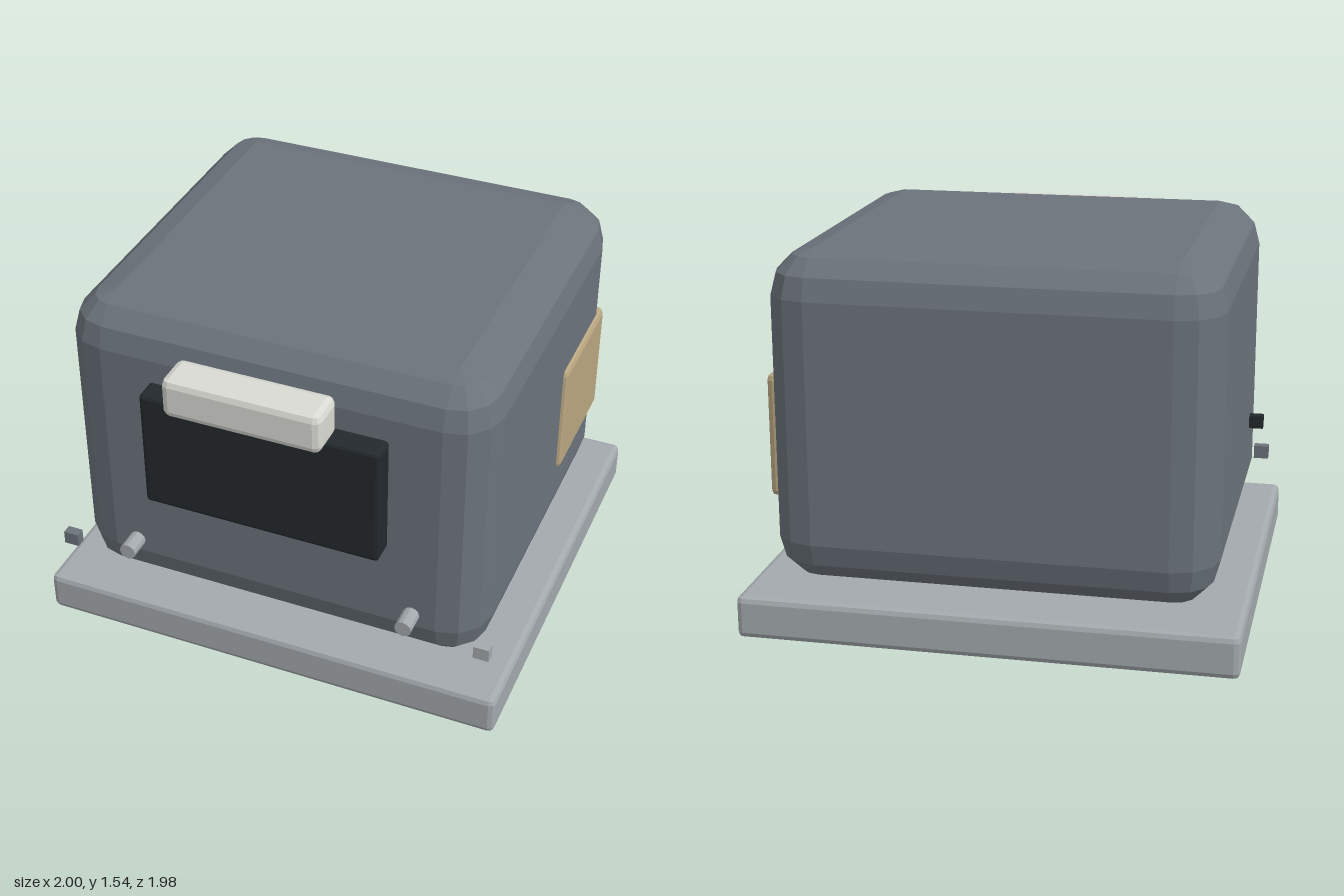
import * as THREE from 'three';
import { ConvexGeometry } from 'three/addons/geometries/ConvexGeometry.js';

const material = (color) => new THREE.MeshStandardMaterial({ color, flatShading: true });

// Box with bevelled edges: hull of eight corner octants, given by its min and max per axis
function bevelBox([x0, x1], [y0, y1], [z0, z1], r, segments) {
  const points = [];
  for (const sx of [-1, 1]) for (const sy of [-1, 1]) for (const sz of [-1, 1]) {
    const cx = sx < 0 ? x0 + r : x1 - r;
    const cy = sy < 0 ? y0 + r : y1 - r;
    const cz = sz < 0 ? z0 + r : z1 - r;
    for (let i = 0; i <= segments; i++) {
      const a = (i / segments) * Math.PI / 2;
      const turns = i === segments ? 0 : segments;
      for (let j = 0; j <= turns; j++) {
        const b = (j / segments) * Math.PI / 2;
        points.push(new THREE.Vector3(
          cx + sx * r * Math.cos(a) * Math.cos(b),
          cy + sy * r * Math.sin(a),
          cz + sz * r * Math.cos(a) * Math.sin(b)));
      }
    }
  }
  return new ConvexGeometry(points);
}

function plainBox([x0, x1], [y0, y1], [z0, z1]) {
  return new THREE.BoxGeometry(x1 - x0, y1 - y0, z1 - z0)
    .translate((x0 + x1) / 2, (y0 + y1) / 2, (z0 + z1) / 2);
}

export function createModel() {
  const group = new THREE.Group();
  const slate = material(0x6b737b);
  const steel = material(0xa3a9ad);
  const black = material(0x23292d);
  const cream = material(0xdadad4);
  const tan = material(0xb9a680);

  const add = (name, geometry, mat) => {
    const mesh = new THREE.Mesh(geometry, mat);
    mesh.name = name;
    group.add(mesh);
    return mesh;
  };

  // Plinth, recessed neck and the large rounded housing
  add('basePlate', bevelBox([-1, 1], [0, 0.175], [-0.99, 0.84], 0.025, 2), steel);
  add('neck', plainBox([-0.588, 0.588], [0.16, 0.23], [-0.64, 0.49]), black);
  add('housing', bevelBox([-0.89, 0.89], [0.2, 1.545], [-0.9, 0.75], 0.18, 3), slate);

  // Front window, the bar floating above it and the side hatch
  add('frontWindow', bevelBox([-0.5, 0.5], [0.745, 1.265], [0.7, 0.845], 0.015, 2), black);
  add('handleBar', bevelBox([-0.323, 0.323], [1.31, 1.48], [0.82, 0.99], 0.03, 2), cream);
  add('sideHatch', bevelBox([0.83, 0.908], [0.535, 1.04], [-0.79, -0.24], 0.025, 2), tan);

  // Front knobs
  for (const side of [-1, 1]) {
    const knob = new THREE.CylinderGeometry(0.035, 0.035, 0.125, 12)
      .rotateX(Math.PI / 2).translate(side * 0.608, 0.438, 0.7825);
    add(side > 0 ? 'leftKnob' : 'rightKnob', knob, steel);
  }

  // Small side blocks
  add('leftBlock', plainBox([0.88, 0.946], [0.325, 0.383], [0.735, 0.777]), steel);
  add('rightBlock', plainBox([-0.95, -0.885], [0.325, 0.383], [0.735, 0.777]), slate);
  add('sideSwitch', plainBox([-0.95, -0.88], [0.585, 0.64], [0.355, 0.4]), black);

  return group;
}
